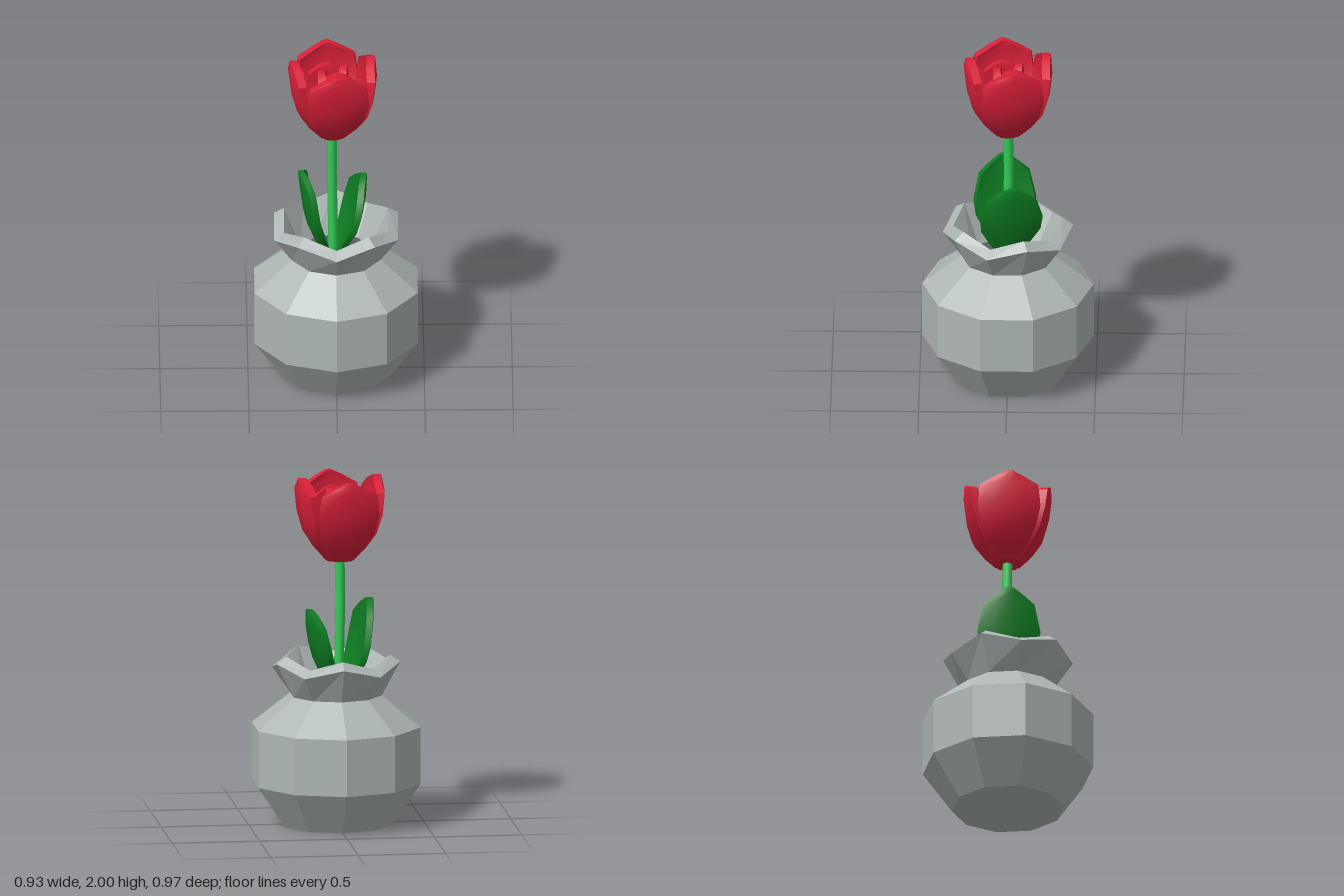
import * as THREE from 'three';
import { toCreasedNormals } from 'three/addons/utils/BufferGeometryUtils.js';

const material = (name, color, extra = {}) => {
  const m = new THREE.MeshStandardMaterial({ color, ...extra });
  m.name = name;
  return m;
};

// Closed skin over rows of points; every row runs anticlockwise seen from above
function loft(rows) {
  const n = rows[0].length, index = [];
  for (let r = 0; r < rows.length - 1; r++) {
    for (let i = 0; i < n; i++) {
      const a = r * n + i, b = r * n + (i + 1) % n;
      index.push(a, b, b + n, a, b + n, a + n);
    }
  }
  const last = (rows.length - 1) * n;
  for (let i = 1; i < n - 1; i++) {
    index.push(0, i + 1, i, last, last + i, last + i + 1);
  }
  const g = new THREE.BufferGeometry();
  g.setAttribute('position', new THREE.Float32BufferAttribute(rows.flat(2), 3));
  g.setIndex(index);
  return g;
}

// Cupped blade facing +z; each row is [y, outward distance, half width, thickness]
function blade(profile, bulge) {
  const rows = profile.map(([y, d, w, t]) => {
    const b = (s) => d - bulge * s * s * Math.min(1, w / 0.12);
    const section = [-1, -0.5, 0, 0.5, 1].map((s) => [s * w, y, b(s)]);
    const inner = [0.94, 0.5, 0, -0.5, -0.94].map((s) => [s * w, y, b(s) - t]);
    return [...section, ...inner];
  });
  return toCreasedNormals(loft(rows), 0.75);
}

export function createModel() {
  const model = new THREE.Group();
  const stone = material('vase grey', 0xaeb7b5, { flatShading: true });
  const red = material('petal red', 0xd81f38);
  const stemGreen = material('stem green', 0x34cc58);
  const leafGreen = material('leaf green', 0x0d7c22);

  const add = (parent, name, geometry, mat) => {
    const mesh = new THREE.Mesh(geometry, mat);
    mesh.name = name;
    parent.add(mesh);
    return mesh;
  };

  // Ten-sided hollow vase with a zigzag rim: [radius, low y, high y]
  const vaseProfile = [
    [0.32, 0, 0], [0.487, 0.24, 0.24], [0.487, 0.567, 0.567], [0.265, 0.745, 0.745],
    [0.37, 0.89, 0.945], [0.31, 0.93, 0.985],
    [0.21, 0.75, 0.75], [0.43, 0.54, 0.54], [0.43, 0.26, 0.26], [0.28, 0.05, 0.05],
  ];
  const vaseRows = vaseProfile.map(([r, low, high]) =>
    Array.from({ length: 10 }, (_, i) => {
      const a = (i * Math.PI) / 5;
      return [r * Math.sin(a), i % 2 ? high : low, r * Math.cos(a)];
    }));
  add(model, 'vase', loft(vaseRows).toNonIndexed(), stone).geometry.computeVertexNormals();

  // Plant stands slightly off the vase axis
  const plant = new THREE.Group();
  plant.name = 'plant';
  plant.position.x = -0.02;
  model.add(plant);

  // Stem
  const stemPath = new THREE.CatmullRomCurve3([
    new THREE.Vector3(0.01, 0.05, 0), new THREE.Vector3(0.003, 0.9, 0),
    new THREE.Vector3(-0.004, 1.3, -0.004), new THREE.Vector3(0, 1.57, 0),
  ]);
  add(plant, 'stem', new THREE.TubeGeometry(stemPath, 10, 0.028, 8), stemGreen);

  // Four outer petals and four inner petals in a pinwheel
  const outerPetal = blade([
    [1.52, 0.08, 0.05, 0.07], [1.6, 0.15, 0.11, 0.06], [1.69, 0.205, 0.155, 0.055],
    [1.8, 0.235, 0.178, 0.05], [1.92, 0.25, 0.165, 0.05], [1.97, 0.248, 0.08, 0.05],
    [2.0, 0.245, 0.015, 0.045],
  ], 0.03);
  const innerPetal = blade([
    [1.55, 0.05, 0.04, 0.05], [1.66, 0.085, 0.09, 0.05], [1.78, 0.092, 0.112, 0.045],
    [1.88, 0.088, 0.105, 0.045], [1.92, 0.084, 0.055, 0.045], [1.94, 0.082, 0.012, 0.04],
  ], 0.012);
  innerPetal.translate(0.035, 0, 0);
  for (let i = 0; i < 4; i++) {
    const turn = (i * Math.PI) / 2;
    add(plant, 'outerPetal', outerPetal, red).rotation.y = turn + 0.15;
    add(plant, 'innerPetal', innerPetal, red).rotation.y = turn - 0.04;
  }

  // Two leaves on opposite sides, one a little shorter
  [[1, 1.24], [-1, 1.29]].forEach(([side, top]) => {
    const leaf = blade([
      [0.72, 0.04, 0.03, 0.03], [0.84, 0.10, 0.11, 0.035], [0.95, 0.145, 0.17, 0.04],
      [1.04, 0.168, 0.18, 0.04], [top - 0.09, 0.19, 0.145, 0.04],
      [top - 0.03, 0.196, 0.07, 0.038], [top, 0.198, 0.02, 0.035],
    ], 0.035);
    const name = side > 0 ? 'leftLeaf' : 'rightLeaf';
    add(plant, name, leaf, leafGreen).rotation.y = (side * Math.PI) / 2 + 0.16;
  });

  return model;
}
